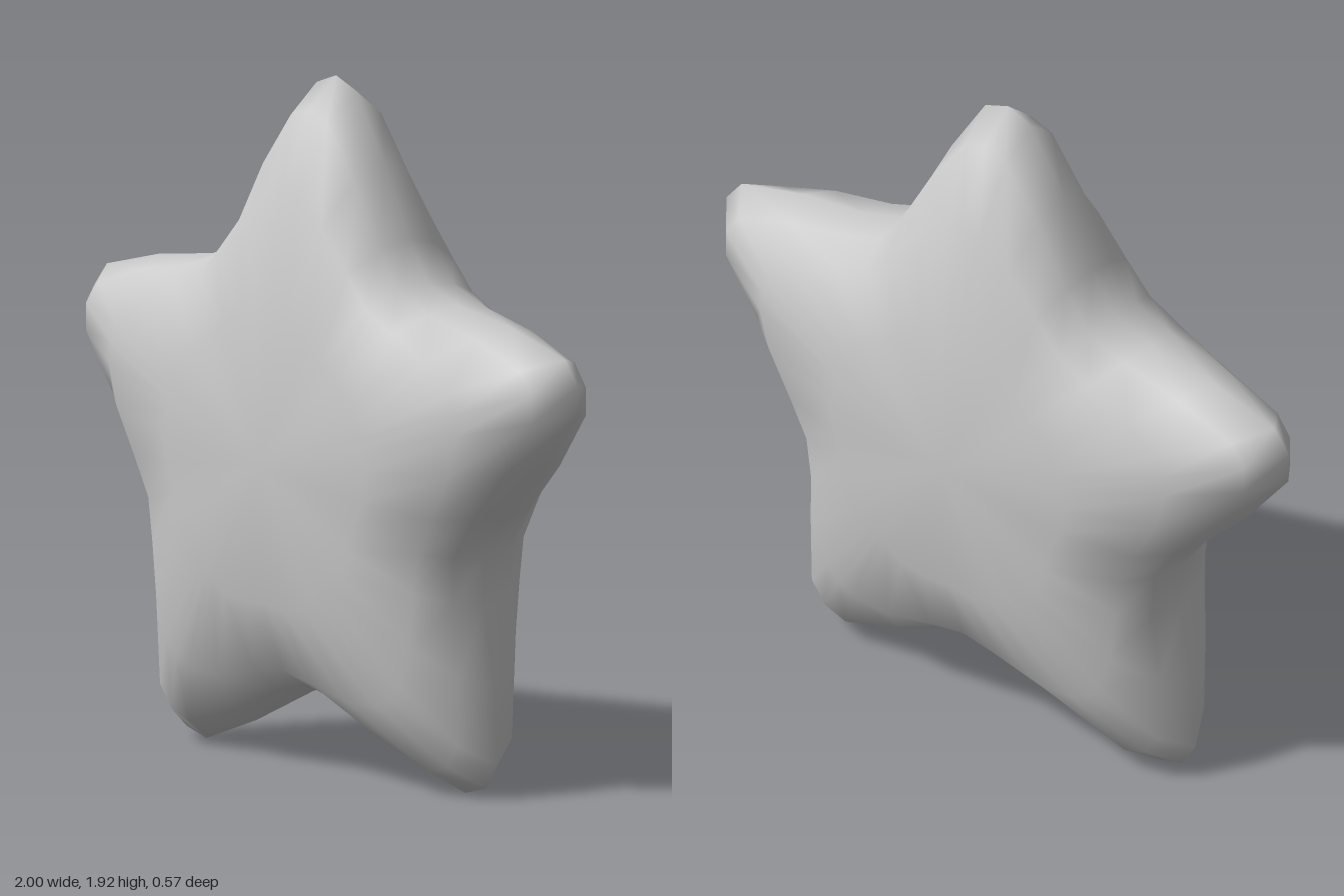
import * as THREE from 'three';

const ARMS = 5, TIP = 1.05, NOTCH = 0.648, CENTRE_Y = 0.873, DEPTH = 0.285;

// One arm of the outline, pointing up, in clockwise order and ending at the notch
const ARM = [
  [-0.3, 0.635], [-0.2, 0.835], [-0.08, 1.02], [0, TIP],
  [0.08, 1.02], [0.2, 0.835], [0.3, 0.635], [0.381, 0.524],
];

// Rings from rim to crown: scale at the tips, scale at the notches, height.
// Notches shrink later than tips, so the sides are steep and the crown is round.
const RINGS = [[1, 1, 0], [0.92, 0.975, 0.1], [0.71, 0.9, 0.195], [0.38, 0.6, 0.265]];

function starOutline() {
  const points = [];
  for (let k = 0; k < ARMS; k++) {
    const turn = -k * 2 * Math.PI / ARMS;
    for (const [x, y] of ARM) points.push(new THREE.Vector2(x, y).rotateAround(new THREE.Vector2(), turn));
  }
  return points;
}

function puffyStar() {
  const outline = starOutline(), n = outline.length;
  const positions = [], index = [];

  // Front crown to rim, then rim to back crown
  const rings = [
    ...RINGS.slice().reverse(),
    ...RINGS.slice(1).map(([tip, notch, z]) => [tip, notch, -z]),
  ];
  for (const [tip, notch, z] of rings) {
    for (const p of outline) {
      const w = THREE.MathUtils.clamp((TIP - p.length()) / (TIP - NOTCH), 0, 1);
      const s = THREE.MathUtils.lerp(tip, notch, w);
      positions.push(p.x * s, p.y * s, z);
    }
  }
  const front = rings.length * n, back = front + 1;
  positions.push(0, 0, DEPTH, 0, 0, -DEPTH);

  const last = (rings.length - 1) * n;
  for (let i = 0; i < n; i++) {
    const j = (i + 1) % n;
    index.push(front, j, i, back, last + i, last + j);
    for (let r = 0; r < rings.length - 1; r++) {
      const a = r * n + i, b = r * n + j;
      index.push(a, b, a + n, b, b + n, a + n);
    }
  }

  const geometry = new THREE.BufferGeometry();
  geometry.setAttribute('position', new THREE.Float32BufferAttribute(positions, 3));
  geometry.setIndex(index);
  geometry.computeVertexNormals();
  return geometry;
}

export function createModel() {
  const group = new THREE.Group();
  group.name = 'puffyStar';
  const star = new THREE.Mesh(puffyStar(), new THREE.MeshStandardMaterial({ color: 0xcccccc }));
  star.name = 'starBody';
  star.position.y = CENTRE_Y;
  group.add(star);
  return group;
}
